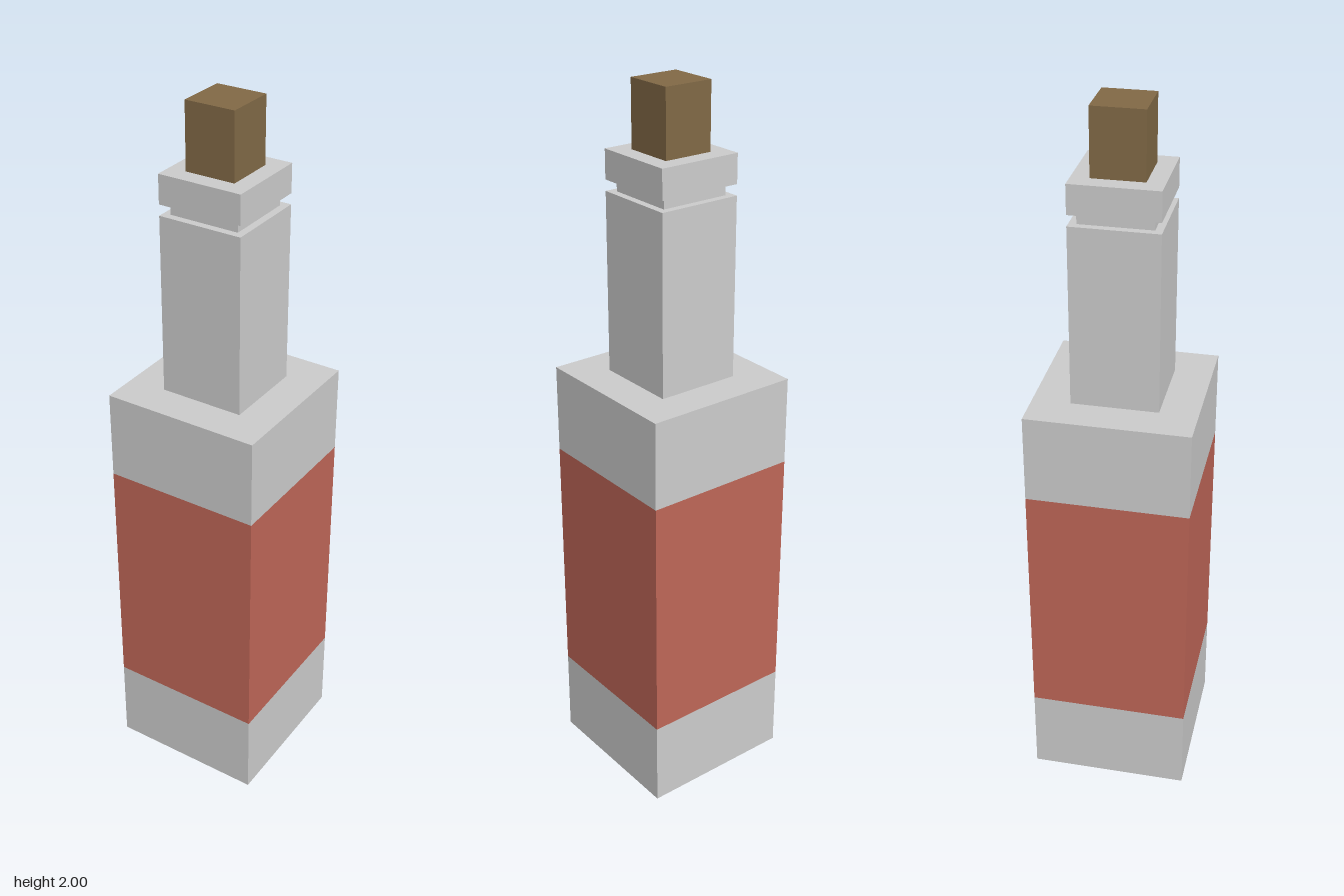
import * as THREE from 'three';

const glass = new THREE.MeshStandardMaterial({ color: 0xcccccc, flatShading: true });
const paper = new THREE.MeshStandardMaterial({ color: 0xbe6657, flatShading: true });
const cork = new THREE.MeshStandardMaterial({ color: 0x816946, flatShading: true });

// Square bottle sections, stacked from the ground up: name, width, bottom, top, material
const sections = [
  ['base', 0.447, 0, 0.25, glass],
  ['label', 0.447, 0.25, 0.96, paper],
  ['shoulder', 0.447, 0.96, 1.21, glass],
  ['neck', 0.238, 1.21, 1.71, glass],
  ['groove', 0.197, 1.71, 1.74, glass],
  ['lip', 0.238, 1.74, 1.82, glass],
  ['stopper', 0.141, 1.82, 2, cork],
];

export function createModel() {
  const bottle = new THREE.Group();
  bottle.name = 'bottle';
  for (const [name, width, bottom, top, material] of sections) {
    const mesh = new THREE.Mesh(new THREE.BoxGeometry(width, top - bottom, width), material);
    mesh.name = name;
    mesh.position.y = (bottom + top) / 2;
    bottle.add(mesh);
  }
  return bottle;
}
